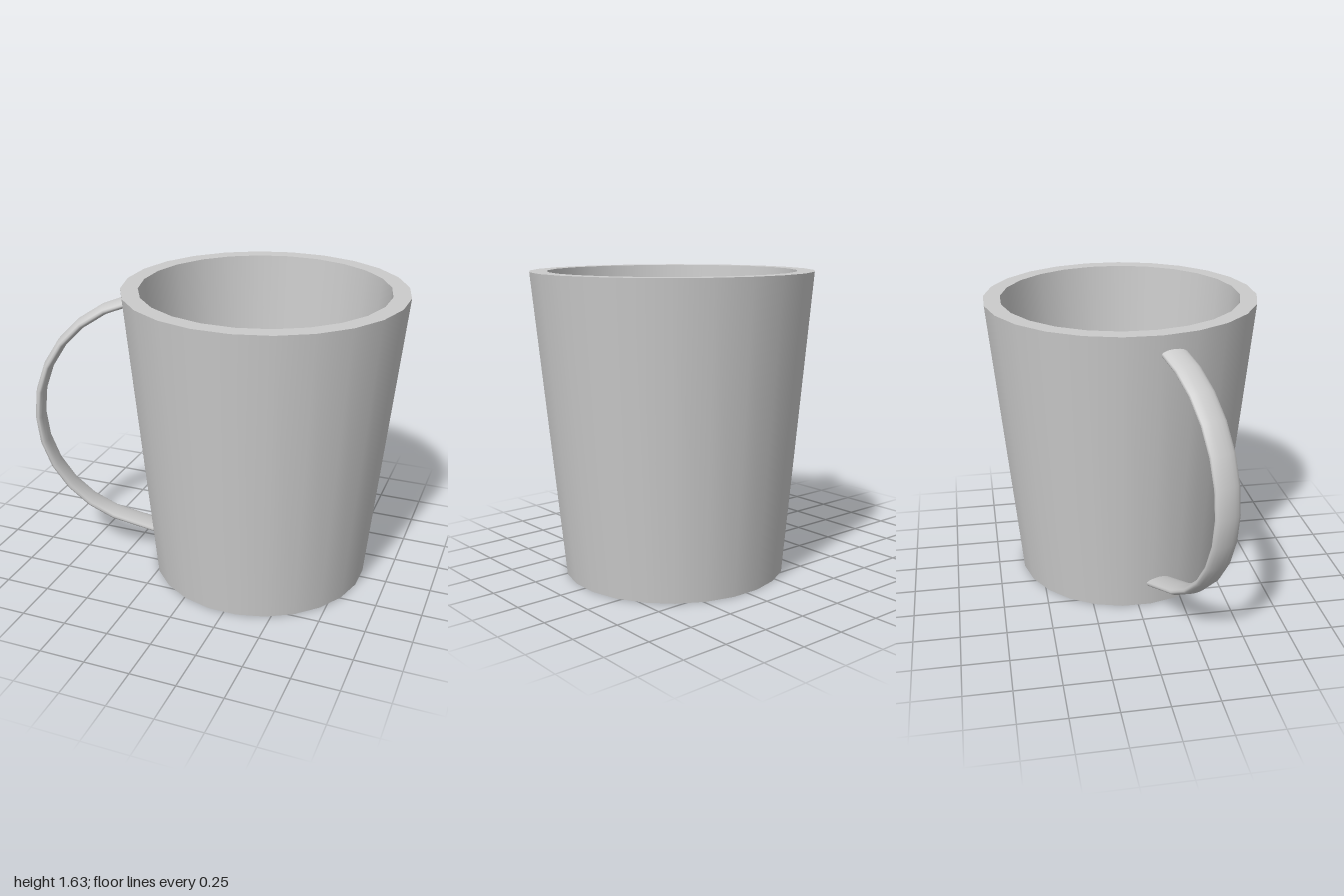
import * as THREE from 'three';

const SIDES = 24;

export function createModel() {
  const model = new THREE.Group();
  model.name = 'mug';
  const material = new THREE.MeshStandardMaterial({ color: 0xcccccc });

  // Tapered hollow cup: one revolved band per surface keeps the rims sharp
  const cup = new THREE.Group();
  cup.name = 'cup';
  cup.position.x = 0.248;
  const profile = [[0, 0], [0.605, 0], [0.757, 1.635], [0.664, 1.635], [0.56, 0.18], [0, 0.18]]
    .map(([r, y]) => new THREE.Vector2(r, y));
  ['base', 'outerWall', 'rim', 'innerWall', 'floor'].forEach((name, i) => {
    const band = new THREE.LatheGeometry([profile[i], profile[i + 1]], SIDES, THREE.MathUtils.degToRad(6.6));
    const mesh = new THREE.Mesh(band, material);
    mesh.name = name;
    cup.add(mesh);
  });
  model.add(cup);

  // Flat strap handle, set slightly off the cup's radial direction
  const handle = new THREE.Mesh(handleGeometry(), material);
  handle.name = 'handle';
  handle.position.set(-0.314, 0.86, 0.098);
  handle.rotation.y = 0.325;
  model.add(handle);
  return model;
}

// Elliptical section swept along a circular arc, with the lower end drawn out to the cup
function handleGeometry() {
  const segments = 12, around = 16, radius = 0.692, halfThick = 0.026, halfWide = 0.073;
  const step = THREE.MathUtils.degToRad(12.9);
  const positions = [], index = [], row = around + 1;
  const centres = [];
  for (let i = 0; i <= segments; i++) {
    const a = (segments / 2 - i) * step;
    const nx = -Math.cos(a), ny = Math.sin(a);
    const c = i === segments ? [-0.04, -0.715] : [nx * radius, ny * radius];
    centres.push([c[0], c[1], 0]);
    for (let j = 0; j < around; j++) {
      const t = (j / around) * Math.PI * 2;
      const d = Math.cos(t) * halfThick;
      positions.push(c[0] + nx * d, c[1] + ny * d, Math.sin(t) * halfWide);
    }
  }
  for (let i = 0; i < segments; i++) {
    for (let j = 0; j < around; j++) {
      const k = (j + 1) % around;
      const a = i * around + j, b = i * around + k, c = a + around, d = b + around;
      index.push(a, c, b, b, c, d);
    }
  }
  // End caps have their own vertices so their edges stay sharp
  for (const ring of [0, segments]) {
    const start = positions.length / 3;
    positions.push(...positions.slice(ring * around * 3, (ring + 1) * around * 3), ...centres[ring]);
    for (let j = 0; j < around; j++) {
      const a = start + j, b = start + ((j + 1) % around), mid = start + row - 1;
      if (ring === 0) index.push(mid, a, b);
      else index.push(mid, b, a);
    }
  }
  const geometry = new THREE.BufferGeometry();
  geometry.setAttribute('position', new THREE.Float32BufferAttribute(positions, 3));
  geometry.setIndex(orientOutward(index, positions, centres[6]));
  geometry.computeVertexNormals();
  return geometry;
}

// Flips the winding when the enclosed volume comes out negative
function orientOutward(index, p) {
  const v = (i) => new THREE.Vector3(p[i * 3], p[i * 3 + 1], p[i * 3 + 2]);
  let volume = 0;
  for (let i = 0; i < index.length; i += 3) {
    volume += v(index[i]).dot(v(index[i + 1]).cross(v(index[i + 2])));
  }
  return volume < 0 ? index.slice().reverse() : index;
}
